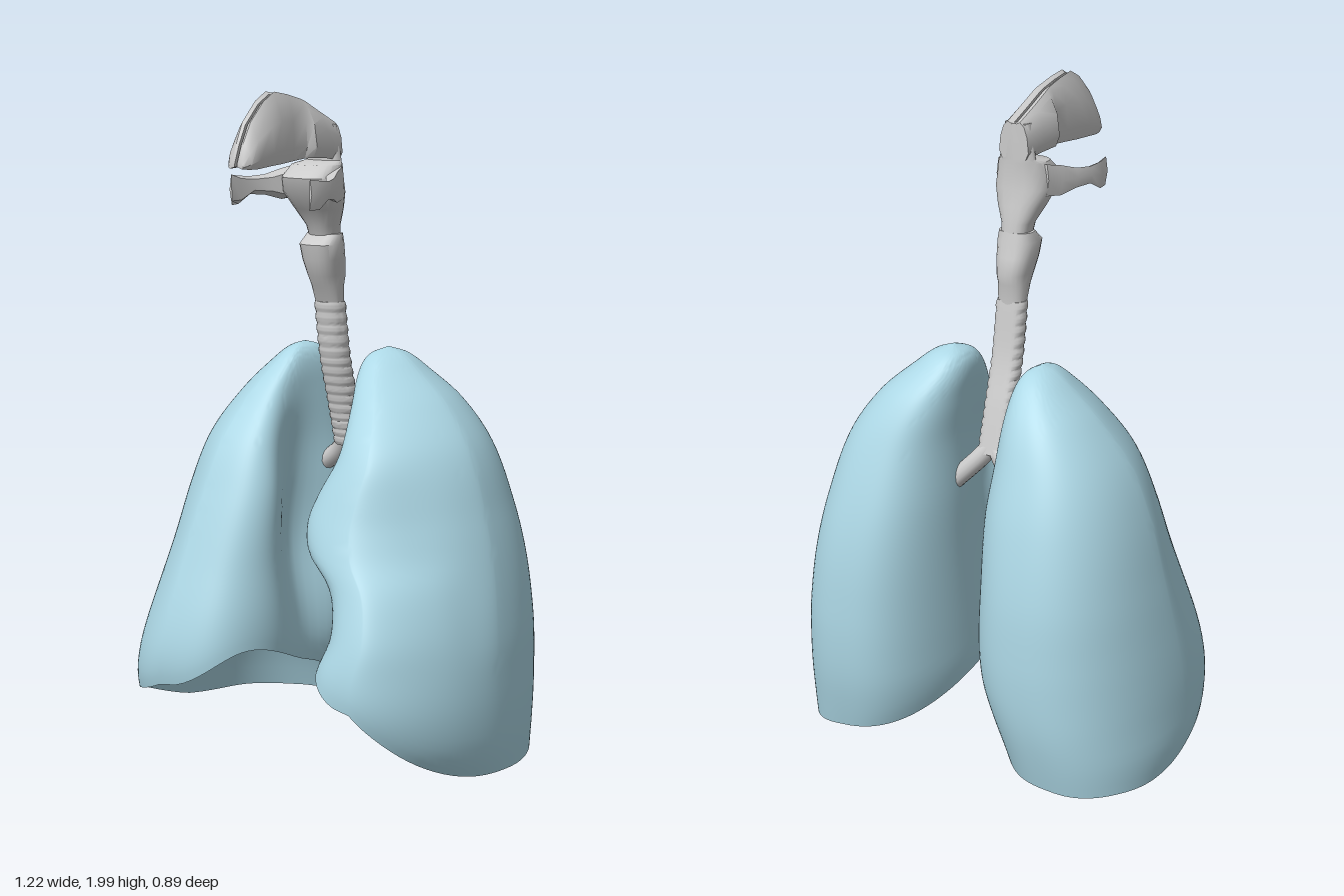
import * as THREE from 'three';
import { toCreasedNormals } from 'three/addons/utils/BufferGeometryUtils.js';

const grey = new THREE.MeshStandardMaterial({ color: 0xcccccc, side: THREE.DoubleSide });
const blue = new THREE.MeshStandardMaterial({ color: 0xadd8e6, side: THREE.DoubleSide });
const { smoothstep, clamp } = THREE.MathUtils;

// Skins a stack of closed rings, each a list of [x, y, z], with optional end caps.
function skin(rings, { flip = false, caps = true, crease = 0.7 } = {}) {
  const n = rings[0].length, pos = rings.flat(2), idx = [];
  const tri = (a, b, c) => (flip ? idx.push(a, c, b) : idx.push(a, b, c));
  for (let j = 0; j < rings.length - 1; j++)
    for (let i = 0; i < n; i++) {
      const a = j * n + i, b = j * n + (i + 1) % n;
      tri(a, a + n, b);
      tri(b, a + n, b + n);
    }
  if (caps) {
    const last = (rings.length - 1) * n;
    for (let i = 1; i < n - 1; i++) {
      tri(0, i, i + 1);
      tri(last, last + i + 1, last + i);
    }
  }
  const g = new THREE.BufferGeometry();
  g.setAttribute('position', new THREE.Float32BufferAttribute(pos, 3));
  g.setIndex(idx);
  return toCreasedNormals(g, crease);
}

function add(parent, name, geometry, material = grey) {
  const m = new THREE.Mesh(geometry, material);
  m.name = name;
  parent.add(m);
}

// Smooth interpolation of column c in rows keyed by their first value.
function sample(rows, c, y) {
  const last = rows.length - 1;
  let k = 0;
  while (k < last - 1 && y > rows[k + 1][0]) k++;
  const slope = i => {
    const p = rows[Math.max(i - 1, 0)], q = rows[Math.min(i + 1, last)];
    return (q[c] - p[c]) / (q[0] - p[0]);
  };
  const [p, q] = [rows[k], rows[k + 1]], h = q[0] - p[0];
  const t = clamp((y - p[0]) / h, 0, 1), t2 = t * t, t3 = t2 * t;
  return (2 * t3 - 3 * t2 + 1) * p[c] + (t3 - 2 * t2 + t) * h * slope(k)
    + (3 * t2 - 2 * t3) * q[c] + (t3 - t2) * h * slope(k + 1);
}

// Closed smooth curve through eight heights, starting at the lateral side.
function rimHeight(rim, a) {
  const f = a / (Math.PI / 4), k = Math.floor(f), t = f - k;
  const v = i => rim[(k + i + 8) % 8];
  return v(0) + 0.5 * t * (v(1) - v(-1) + t * (2 * v(-1) - 5 * v(0) + 4 * v(1) - v(2)
    + t * (3 * (v(0) - v(1)) + v(2) - v(-1))));
}

const gauss = (d, w) => Math.exp(-(d * d) / (w * w));
const power = (v, e) => Math.sign(v) * Math.abs(v) ** e;

// Lung: stacked D-shaped sections over a slanted rim, with a domed hollow base.
// The outer front corner slopes away with height; hollow = [depth, z] dents the
// inner face; frontShift moves the front inner border sideways by height.
function lungGeometry({ side, rows, rim, dome, hollow, frontShift }) {
  const N = 96, H = 56, K = 14, rings = [];
  const top = rows[rows.length - 1][0];
  const point = (a, y) => {
    const [lat, med, front, back] = [1, 2, 3, 4].map(c => sample(rows, c, y));
    const c = Math.cos(a), s = Math.sin(a);
    const slope = 1.02 + 0.42 * smoothstep(y, 0.1, 0.7);
    const bendX = c > 0 ? (s > 0 ? slope : 0.9) : s > 0 ? 0.55 : 0.75;
    const bendZ = c > 0 && s > 0 ? slope : 0.9;
    const z = (front + back) / 2 + (front - back) / 2 * power(s, bendZ);
    let x = (lat + med) / 2 + (lat - med) / 2 * power(c, bendX);
    const medial = lat - med > 0.001 ? (lat - x) / (lat - med) : 0;
    x += hollow[0] * medial ** 3 * gauss(z - hollow[1], 0.14) * gauss(y - 0.68, 0.38);
    x += sample(frontShift, 1, y) * medial * smoothstep(z, 0.02, 0.18);
    return [side * x, y, z];
  };
  const angles = Array.from({ length: N }, (_, i) => i / N * Math.PI * 2);
  const edge = angles.map(a => point(a, rimHeight(rim, a)));
  const cx = side * 0.34, cz = -0.02;
  for (let k = 0; k < K; k++) {
    const f = Math.max(k / K, 0.001);
    rings.push(edge.map(([x, y, z]) =>
      [cx + (x - cx) * f, dome + (y - dome) * f ** 2.6, cz + (z - cz) * f]));
  }
  for (let j = 0; j <= H; j++) {
    const t = Math.sin(j / H * Math.PI / 2);
    rings.push(angles.map(a => {
      const r = rimHeight(rim, a);
      return point(a, r + (top - r) * t);
    }));
  }
  return skin(rings, { flip: side < 0, caps: false, crease: 1 });
}

// Upright hollow-organ section: rows of [y, front z, back z, half width].
function column(rows, n = 20) {
  return skin(rows.map(([y, f, b, w]) => Array.from({ length: n }, (_, i) => {
    const a = i / n * Math.PI * 2;
    return [w * power(Math.cos(a), 0.8), y, (f + b) / 2 + (f - b) / 2 * power(Math.sin(a), 0.8)];
  })));
}

export function createModel() {
  const model = new THREE.Group();
  model.name = 'respiratorySystem';

  // Lungs: rows of [y, lateral x, medial x, front z, back z]
  add(model, 'rightLung', lungGeometry({
    side: -1, dome: 0.38, hollow: [0.11, 0],
    frontShift: [[0, 0], [0.4, 0], [0.8, -0.015], [1, -0.008], [1.225, 0]],
    rim: [0.035, 0.15, 0.23, 0.35, 0.25, 0.075, 0.025, 0.02],
    rows: [[0, 0.595, 0.15, 0.2, -0.385], [0.1, 0.61, 0.11, 0.33, -0.41], [0.2, 0.607, 0.07, 0.4, -0.43],
      [0.3, 0.6, 0.035, 0.422, -0.44], [0.42, 0.585, 0.025, 0.405, -0.442], [0.6, 0.555, 0.035, 0.345, -0.43],
      [0.8, 0.51, 0.04, 0.27, -0.39], [0.95, 0.45, 0.06, 0.2, -0.34], [1.08, 0.355, 0.08, 0.1, -0.28],
      [1.17, 0.26, 0.1, 0.015, -0.21], [1.21, 0.205, 0.125, -0.04, -0.155], [1.225, 0.16, 0.16, -0.1, -0.1]],
  }), blue);
  add(model, 'leftLung', lungGeometry({
    side: 1, dome: 0.36, hollow: [0.04, 0.06],
    frontShift: [[0, 0.02], [0.25, 0.04], [0.35, 0.06], [0.45, 0.1], [0.54, 0.085], [0.6, 0.045],
      [0.67, -0.045], [0.75, -0.075], [0.83, -0.055], [0.93, -0.01], [1, 0], [1.235, 0]],
    rim: [0.01, 0.05, 0.26, 0.35, 0.2, 0.09, 0.045, 0.02],
    rows: [[0, 0.585, 0.17, 0.2, -0.385], [0.1, 0.6, 0.115, 0.33, -0.41], [0.2, 0.605, 0.09, 0.4, -0.43],
      [0.3, 0.603, 0.085, 0.425, -0.44], [0.42, 0.595, 0.085, 0.408, -0.442], [0.6, 0.565, 0.088, 0.345, -0.43],
      [0.76, 0.525, 0.09, 0.285, -0.4], [0.95, 0.46, 0.095, 0.2, -0.34], [1.08, 0.365, 0.085, 0.1, -0.28],
      [1.17, 0.26, 0.08, 0.015, -0.21], [1.215, 0.2, 0.1, -0.04, -0.16], [1.235, 0.145, 0.145, -0.1, -0.1]],
  }), blue);

  // Windpipe: cartilage ridges with a smooth flat back
  const path = new THREE.CatmullRomCurve3([[1.37, -0.005], [1.2, -0.032], [1.05, -0.075], [0.92, -0.11]]
    .map(([y, z]) => new THREE.Vector3(0, y, z)));
  const ridges = 15, steps = ridges * 6, tracheaRings = [];
  for (let j = steps; j >= 0; j--) {
    const p = path.getPoint(j / steps);
    const ridge = 0.004 * Math.abs(Math.sin(j / steps * ridges * Math.PI));
    tracheaRings.push(Array.from({ length: 24 }, (_, i) => {
      const a = i / 24 * Math.PI * 2, s = Math.sin(a);
      const r = 0.046 + (s > -0.7 ? ridge : 0);
      return [r * Math.cos(a), p.y, p.z + 0.85 * r * Math.max(s, -0.75)];
    }));
  }
  add(model, 'trachea', skin(tracheaRings));

  // Main bronchi
  for (const [name, s, drop] of [['leftBronchus', 1, 0.8], ['rightBronchus', -1, 0.83]]) {
    const curve = new THREE.CatmullRomCurve3([
      new THREE.Vector3(0, 0.95, -0.1), new THREE.Vector3(s * 0.045, 0.895, -0.12),
      new THREE.Vector3(s * 0.14, drop, -0.14)]);
    add(model, name, new THREE.TubeGeometry(curve, 12, 0.029, 14));
  }

  // Voice box
  add(model, 'larynx', column([[1.36, 0.025, -0.036, 0.043], [1.42, 0.052, -0.04, 0.045],
    [1.45, 0.07, -0.048, 0.049], [1.5, 0.088, -0.036, 0.058], [1.545, 0.098, -0.026, 0.062],
    [1.575, 0.06, -0.02, 0.054]]));

  // Throat
  add(model, 'pharynx', column([[1.555, 0.06, -0.022, 0.042], [1.6, 0.075, -0.018, 0.048],
    [1.65, 0.11, -0.01, 0.072], [1.7, 0.15, -0.002, 0.09], [1.745, 0.165, 0, 0.085],
    [1.78, 0.12, 0, 0.075], [1.79, 0.05, 0, 0.058], [1.895, 0.05, 0.002, 0.04]]));

  // Jaw wings: sections of [z, inner x, outer x, bottom y, top y]
  const wing = [[0.05, 0.03, 0.09, 1.68, 1.775], [0.1, 0.06, 0.108, 1.675, 1.765],
    [0.15, 0.095, 0.13, 1.69, 1.75], [0.2, 0.122, 0.148, 1.695, 1.747],
    [0.25, 0.133, 0.153, 1.67, 1.752], [0.29, 0.138, 0.146, 1.67, 1.758]];
  // Nasal halves: sections of [z, bottom half width, top half width, bottom y, top y]
  const nose = [[0.002, 0.05, 0.035, 1.79, 1.9], [0.08, 0.058, 0.036, 1.8, 1.935],
    [0.15, 0.065, 0.034, 1.805, 1.968], [0.17, 0.045, 0.03, 1.805, 1.975], [0.23, 0.043, 0.028, 1.8, 1.99],
    [0.29, 0.052, 0.025, 1.797, 2], [0.34, 0.055, 0.025, 1.795, 1.975], [0.4, 0.05, 0.024, 1.79, 1.92],
    [0.43, 0.042, 0.02, 1.79, 1.865], [0.45, 0.026, 0.014, 1.792, 1.815]];
  for (const s of [1, -1]) {
    const label = s > 0 ? 'left' : 'right';
    add(model, label + 'JawWing', skin(wing.map(([z, a, b, lo, hi]) => [
      [s * a, lo + 0.012, z], [s * (b - 0.008), lo, z], [s * b, (lo + hi) / 2, z],
      [s * (b - 0.006), hi, z], [s * a, hi - 0.008, z]]), { flip: s > 0 }));
    add(model, label + 'NasalCavity', skin(nose.map(([z, b, t, lo, hi]) => [
      [s * 0.004, lo + 0.006, z], [s * b * 0.8, lo, z], [s * b, lo + (hi - lo) * 0.2, z],
      [s * (b * 0.7 + t * 0.3), lo + (hi - lo) * 0.6, z], [s * t, lo + (hi - lo) * 0.88, z],
      [s * t * 0.6, hi, z], [s * 0.004, hi - 0.008, z]]), { flip: s > 0 }));
  }
  return model;
}
